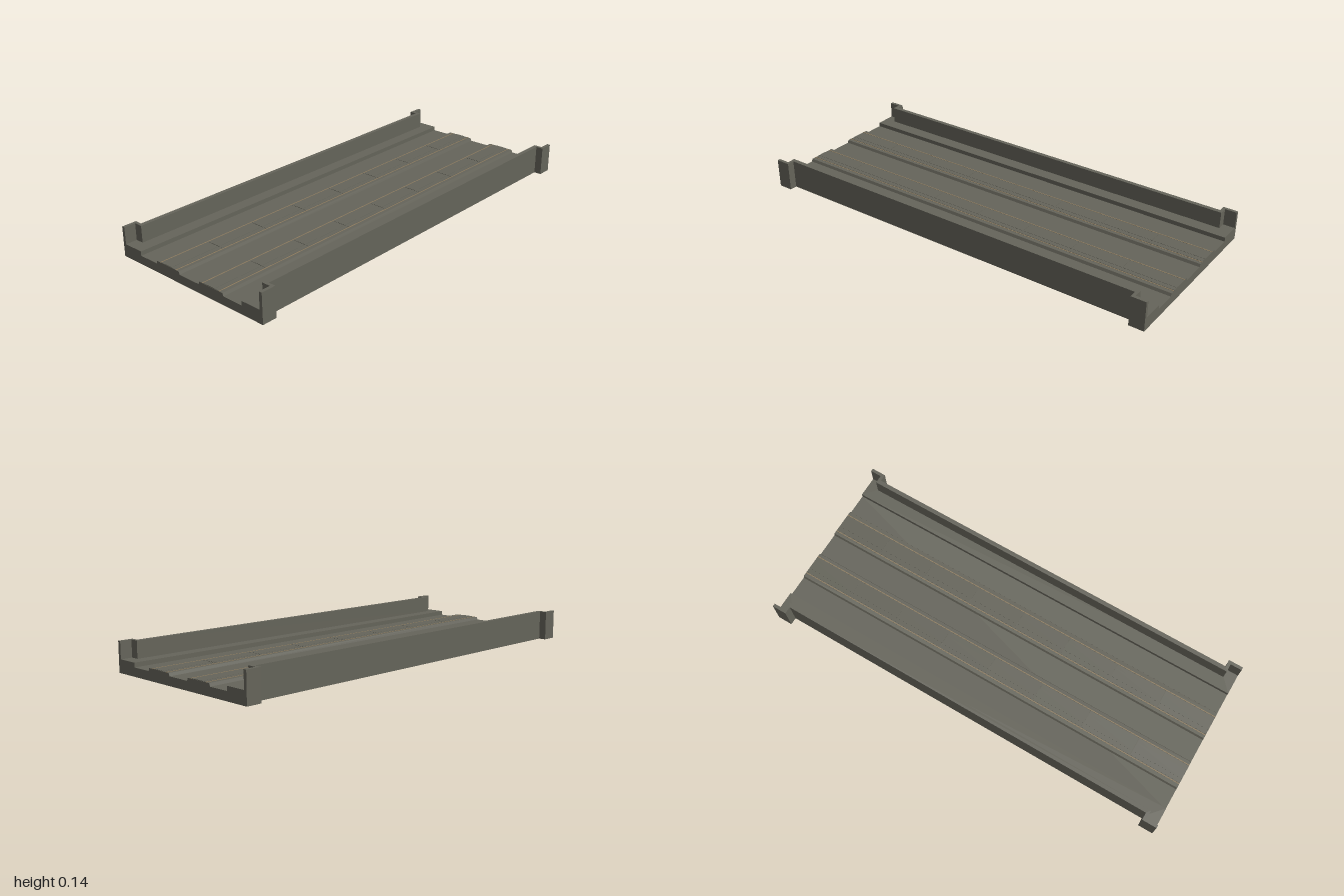
import * as THREE from 'three';

export function createModel() {
  const model = new THREE.Group();
  const concrete = new THREE.MeshStandardMaterial({ color: 0x65645a, side: THREE.DoubleSide });
  concrete.name = 'concrete';
  const railTan = new THREE.MeshStandardMaterial({ color: 0x8f7d60 });
  railTan.name = 'rail tan';

  const add = (name, geometry, material = concrete) => {
    const mesh = new THREE.Mesh(geometry, material);
    mesh.name = name;
    model.add(mesh);
    return mesh;
  };
  const shapeOf = pts => new THREE.Shape(pts.map(([x, y]) => new THREE.Vector2(x, y)));
  const flip = (pts, s) => pts.map(([x, z]) => [x * s, z]);
  // Flat plan outline laid at height y
  const sheet = (pts, y) => new THREE.ShapeGeometry(shapeOf(pts)).rotateX(-Math.PI / 2).translate(0, y, 0);
  // Upright skin following a plan path given as [x, z]
  const ribbon = (path, y0, y1) => {
    const pos = [];
    for (let i = 0; i < path.length - 1; i++) {
      const [ax, az] = path[i], [bx, bz] = path[i + 1];
      pos.push(ax, y0, az, bx, y0, bz, bx, y1, bz, ax, y0, az, bx, y1, bz, ax, y1, az);
    }
    const g = new THREE.BufferGeometry();
    g.setAttribute('position', new THREE.Float32BufferAttribute(pos, 3));
    g.computeVertexNormals();
    return g;
  };

  const FLOOR = 0.04, LEDGE = 0.06, TOP = 0.138, STEP = 0.305;

  // Deck floor, open underneath
  add('deckFloor', sheet([[-STEP, -1], [STEP, -1], [STEP, 1], [-STEP, 1]], FLOOR));

  // End faces with raised ledge ends
  const endShape = shapeOf([[-0.42, 0], [0.42, 0], [0.42, LEDGE], [STEP, LEDGE], [STEP, FLOOR],
    [-STEP, FLOOR], [-STEP, LEDGE], [-0.42, LEDGE]]);
  for (const s of [1, -1]) {
    const end = add(s > 0 ? 'frontEndFace' : 'backEndFace', new THREE.ShapeGeometry(endShape));
    end.position.z = s;
    if (s < 0) end.rotation.y = Math.PI;
  }

  // Outer edge and full wall outline with corner returns
  const outer = [[0.42, 1], [0.42, 0.93], [0.385, 0.93], [0.385, -0.93], [0.42, -0.93], [0.42, -1]];
  const inner = [[0.405, -1], [0.405, -0.945], [0.365, -0.945], [0.365, 0.945], [0.405, 0.945], [0.405, 1]];

  for (const s of [1, -1]) {
    const side = s > 0 ? 'left' : 'right';
    const path = flip(outer, s);
    add(side + 'Skirt', ribbon(s > 0 ? path : path.reverse(), 0, LEDGE));
    add(side + 'Ledge', sheet(flip([...outer, [STEP, -1], [STEP, 1]], s), LEDGE));
    add(side + 'LedgeRiser', ribbon(s > 0 ? [[STEP, -1], [STEP, 1]] : [[-STEP, 1], [-STEP, -1]], FLOOR, LEDGE));
    const wall = new THREE.ExtrudeGeometry(shapeOf(flip([...outer, ...inner], s)),
      { depth: TOP - LEDGE, bevelEnabled: false });
    add(side + 'Wall', wall.rotateX(-Math.PI / 2).translate(0, LEDGE, 0));

    // Track bed with sloped shoulders
    const bed = new THREE.ExtrudeGeometry(
      shapeOf(flip([[0.058, FLOOR], [0.203, FLOOR], [0.198, 0.053], [0.063, 0.053]], s)),
      { depth: 2, bevelEnabled: false });
    add(side + 'TrackBed', bed.translate(0, 0, -1));

    // Inlaid rails
    for (const x of [0.08, 0.178]) {
      add(side + 'Rail', new THREE.BoxGeometry(0.004, 0.003, 2), railTan).position.set(s * x, 0.0525, 0);
    }
    // Slabs between the rails, slightly crowned in the middle
    for (let i = 0; i < 8; i++) {
      const z = -0.875 + i * 0.25;
      add(side + 'TrackSlab', new THREE.BoxGeometry(0.088, 0.002, 0.247)).position.set(s * 0.129, 0.053, z);
      add(side + 'SlabCrown', new THREE.BoxGeometry(0.044, 0.002, 0.247)).position.set(s * 0.13, 0.054, z);
    }
  }
  return model;
}
